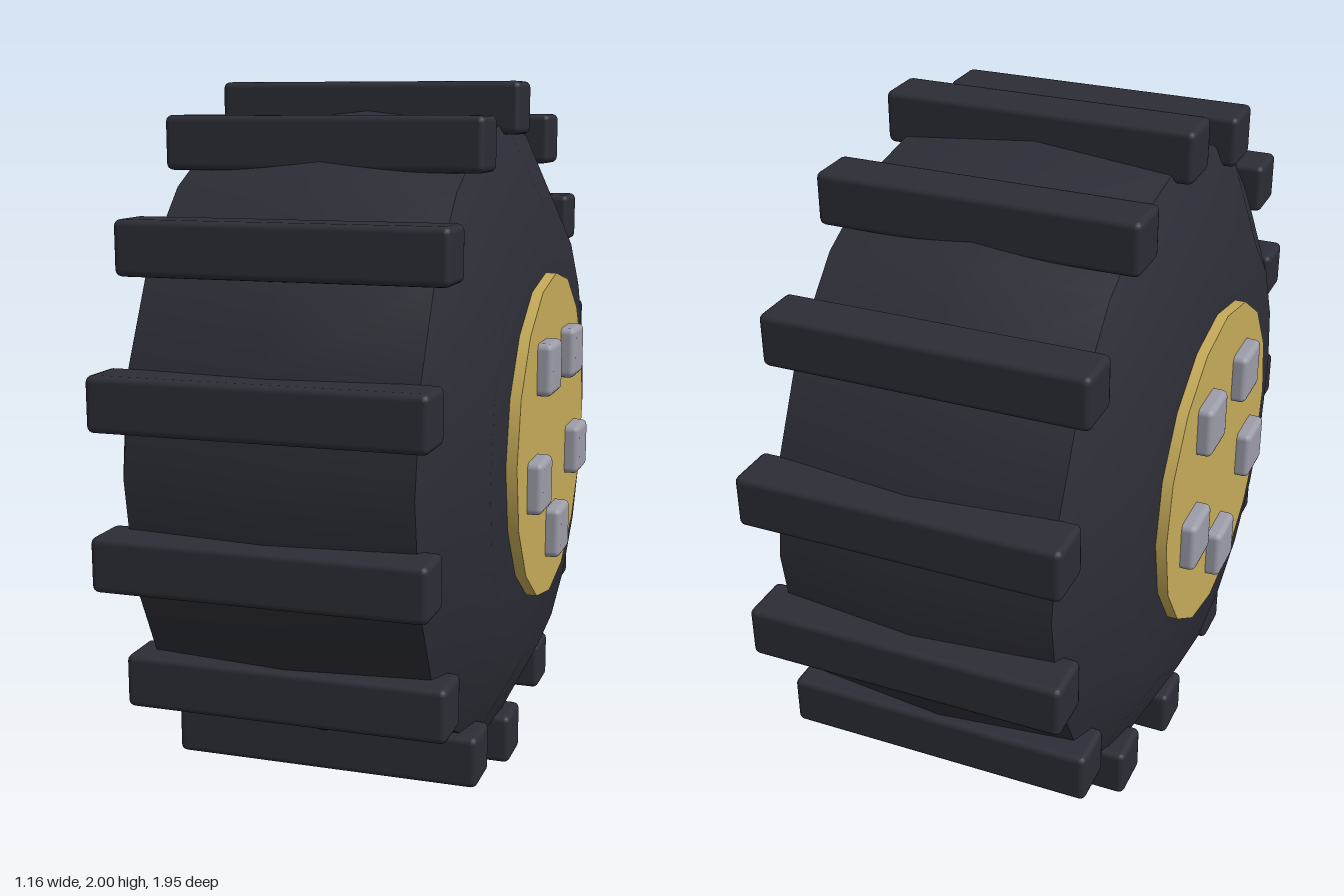
import * as THREE from 'three';
import { toCreasedNormals } from 'three/addons/utils/BufferGeometryUtils.js';
import { RoundedBoxGeometry } from 'three/addons/geometries/RoundedBoxGeometry.js';

const paint = (name, color) => {
  const m = new THREE.MeshStandardMaterial({ color });
  m.name = name;
  return m;
};

export function createModel() {
  const rubber = paint('rubber', 0x2c2d36);
  const gold = paint('gold', 0xc6ab59);
  const steel = paint('steel', 0x9c9da9);

  const wheel = new THREE.Group();
  wheel.name = 'wheel';
  const add = (name, geometry, material, x = 0, y = 0, z = 0) => {
    const mesh = new THREE.Mesh(geometry, material);
    mesh.name = name;
    mesh.position.set(x, y + 1, z);
    wheel.add(mesh);
  };

  // Tyre: bevelled shoulders and a slightly peaked rolling surface
  const profile = [
    [0.3, -0.51], [0.64, -0.51], [0.89, -0.385], [0.93, 0],
    [0.89, 0.385], [0.64, 0.51], [0.3, 0.51],
  ].map(([r, y]) => new THREE.Vector2(r, y));
  const tyre = toCreasedNormals(new THREE.LatheGeometry(profile, 20), 0.75);
  add('tyre', tyre.rotateZ(Math.PI / 2), rubber);

  // Tread bars, all kept upright around the rim
  const bar = new RoundedBoxGeometry(0.886, 0.146, 0.146, 2, 0.018);
  for (let i = 0; i < 14; i++) {
    const a = (i / 14) * Math.PI * 2;
    add('treadBar', bar, rubber, 0, Math.cos(a) * 0.927, Math.sin(a) * 0.927);
  }

  // Hub disc running through the tyre
  const hub = new THREE.CylinderGeometry(0.468, 0.468, 1.08, 16);
  add('hub', hub.rotateZ(Math.PI / 2), gold);

  // Five wheel nuts on each side, the odd one at the bottom
  const nut = new RoundedBoxGeometry(0.146, 0.146, 0.146, 2, 0.018);
  for (const side of [-1, 1]) {
    for (let i = 0; i < 5; i++) {
      const a = (i / 5) * Math.PI * 2;
      add('wheelNut', nut, steel, side * 0.509, -Math.cos(a) * 0.277, Math.sin(a) * 0.277);
    }
  }
  return wheel;
}
